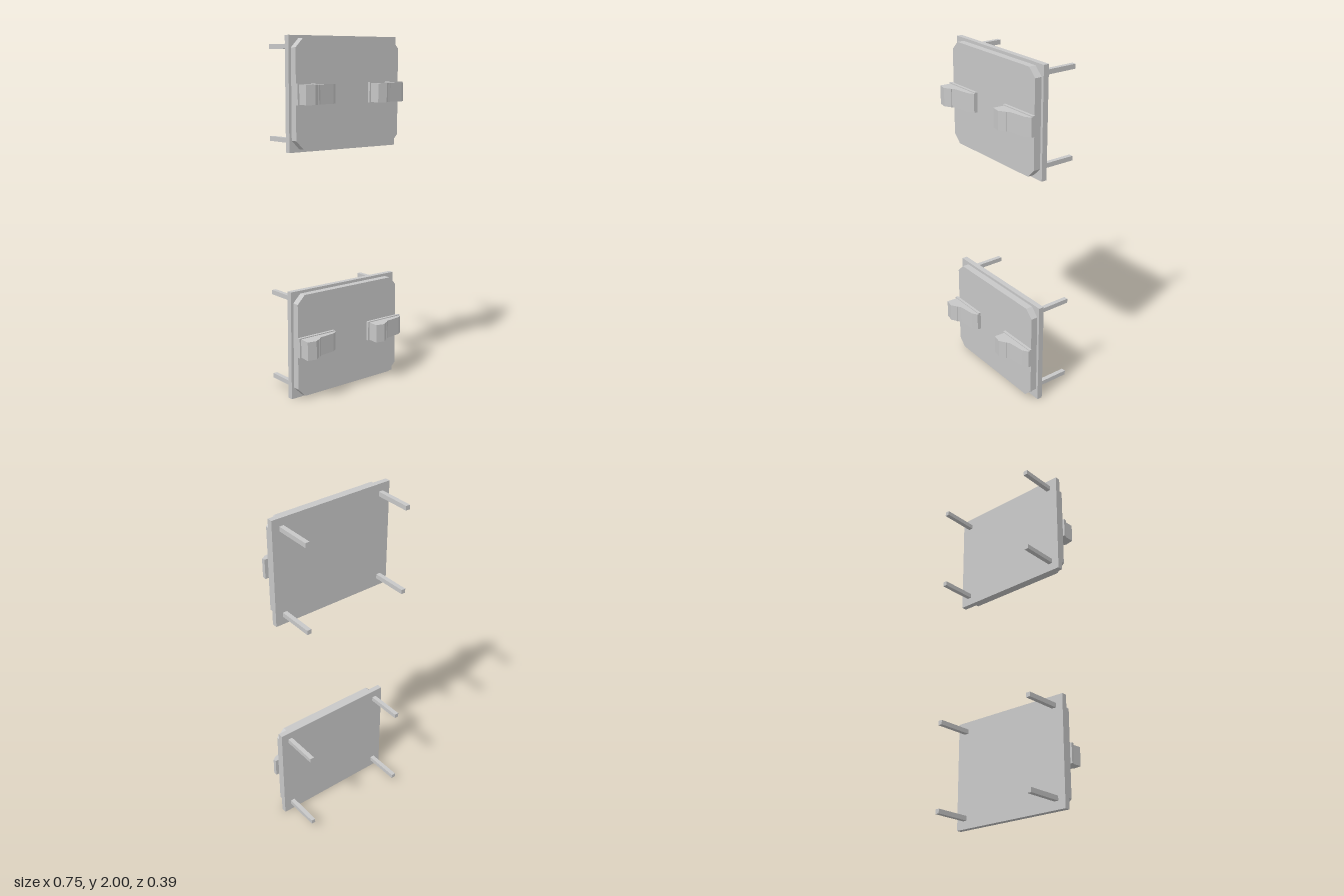
import * as THREE from 'three';

export function createModel() {
  const root = new THREE.Group();
  const grey = new THREE.MeshStandardMaterial({ color: 0xc8c8c8 });
  grey.name = 'light grey';

  const add = (parent, name, geometry) => {
    const mesh = new THREE.Mesh(geometry, grey);
    mesh.name = name;
    parent.add(mesh);
    return mesh;
  };

  // Box given by its lower and upper limits on each axis
  const box = (parent, name, [x0, x1], [y0, y1], [z0, z1]) =>
    add(parent, name, new THREE.BoxGeometry(x1 - x0, y1 - y0, z1 - z0))
      .position.set((x0 + x1) / 2, (y0 + y1) / 2, (z0 + z1) / 2);

  const extrude = (points, depth) => new THREE.ExtrudeGeometry(
    new THREE.Shape(points.map(([x, y]) => new THREE.Vector2(x, y))),
    { depth, bevelEnabled: false });

  // Front panel outline with cut corners
  const l = -0.361, r = 0.361, b = 0.017, t = 0.601, c = 0.048;
  const panelOutline = [
    [l + c, b], [r - c, b], [r, b + c], [r, t - c],
    [r - c, t], [l + c, t], [l, t - c], [l, b + c],
  ];

  // Clip outline seen from above, as (x, z)
  const clipOutline = [
    [-0.357, 0.117], [-0.361, 0.182], [-0.308, 0.193], [-0.275, 0.172],
    [-0.268, 0.172], [-0.268, 0.168], [-0.248, 0.155], [-0.151, 0.144],
    [-0.12, 0.124], [-0.12, 0.117],
  ];

  // Two identical panels, one above the other
  for (const [name, y] of [['lowerPanel', 0], ['upperPanel', 1.383]]) {
    const panel = new THREE.Group();
    panel.name = name;
    panel.position.y = y;
    root.add(panel);

    box(panel, 'backPlate', [-0.377, 0.377], [0, 0.617], [0.02, 0.052]);
    add(panel, 'frontPlate', extrude(panelOutline, 0.041)).position.z = 0.052;

    // Square pins at the back corners
    for (const px of [-0.319, 0.319])
      for (const py of [0.059, 0.56])
        box(panel, 'pin', [px - 0.013, px + 0.013], [py - 0.013, py + 0.013], [-0.194, 0.02]);

    // Latch clips, standing just clear of the front plate
    for (const x of [0, 0.496]) {
      const clip = new THREE.Group();
      clip.name = 'clip';
      clip.position.x = x;
      panel.add(clip);
      box(clip, 'clipBase', [-0.367, -0.12], [0.254, 0.367], [0.101, 0.117]);
      const body = add(clip, 'clipBody', extrude(clipOutline, 0.105));
      body.rotation.x = Math.PI / 2;
      body.position.y = 0.362;
    }
  }
  return root;
}
